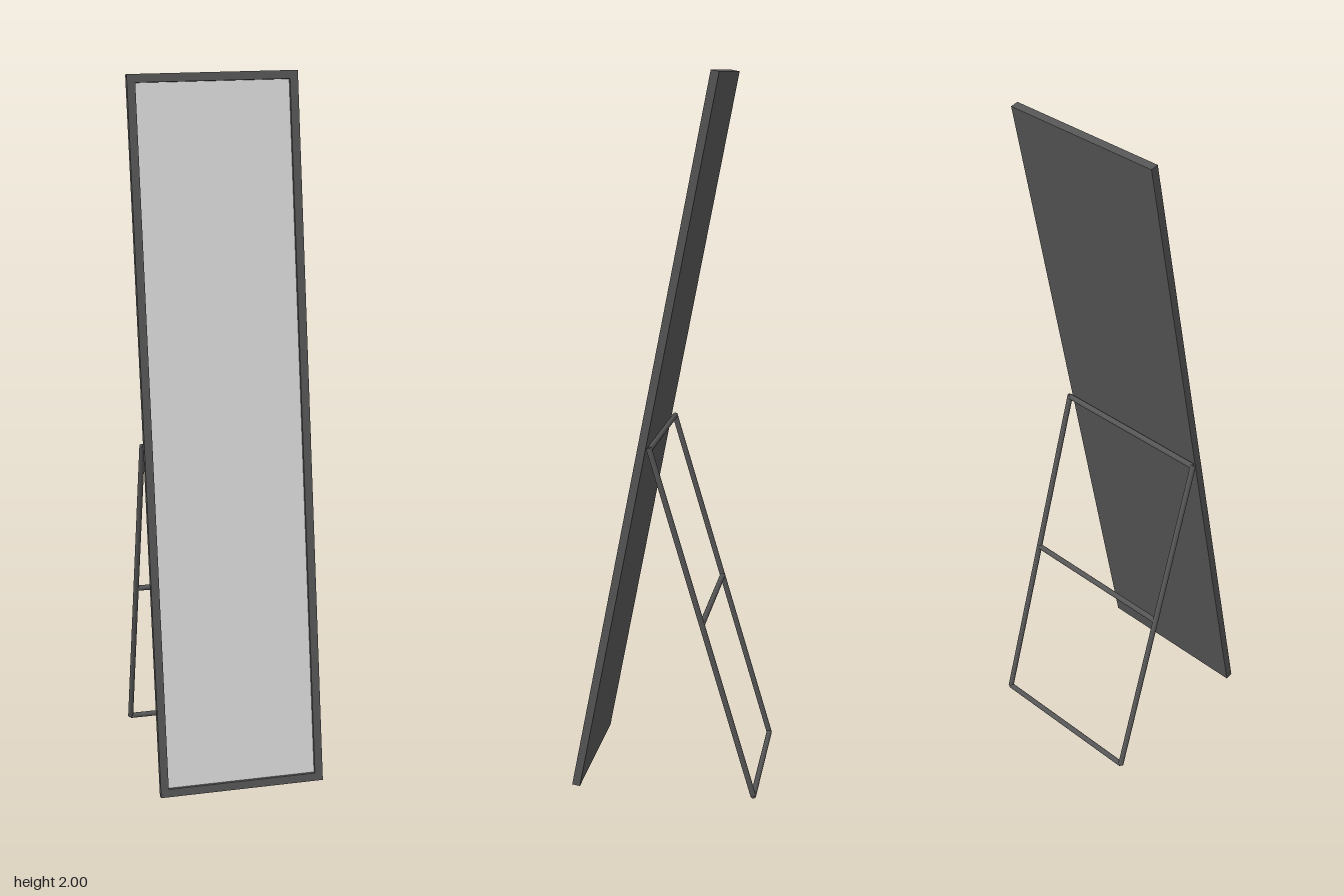
import * as THREE from 'three';

const W = 0.478, H = 2.028, DEPTH = 0.0225; // mirror outer size
const BORDER = 0.023, RECESS = 0.011;
const LEAN = 0.193;
const ROD = 0.008; // stand tube radius

function rectangle(shape, w, h) {
  shape.moveTo(-w / 2, -h / 2);
  shape.lineTo(w / 2, -h / 2);
  shape.lineTo(w / 2, h / 2);
  shape.lineTo(-w / 2, h / 2);
  shape.closePath();
  return shape;
}

// Round bar between two points
function rod(name, a, b, material) {
  const dir = b.clone().sub(a);
  const mesh = new THREE.Mesh(new THREE.CylinderGeometry(ROD, ROD, dir.length(), 16), material);
  mesh.name = name;
  mesh.position.copy(a).add(b).multiplyScalar(0.5);
  mesh.quaternion.setFromUnitVectors(new THREE.Vector3(0, 1, 0), dir.normalize());
  return mesh;
}

export function createModel() {
  const frameMat = new THREE.MeshStandardMaterial({ color: 0x555555 });
  frameMat.name = 'dark grey metal';
  const glassMat = new THREE.MeshStandardMaterial({ color: 0xd8d8d8 });
  glassMat.name = 'pale mirror glass';

  const model = new THREE.Group();
  model.name = 'standingMirror';

  // Leaning mirror: frame, backing board and recessed glass
  const mirror = new THREE.Group();
  mirror.name = 'mirror';
  mirror.position.set(0, 1.0025, 0.0565);
  mirror.rotation.x = -LEAN;
  model.add(mirror);

  const innerW = W - 2 * BORDER, innerH = H - 2 * BORDER;
  const outline = rectangle(new THREE.Shape(), W, H);
  outline.holes.push(rectangle(new THREE.Path(), innerW, innerH));
  const frame = new THREE.Mesh(
    new THREE.ExtrudeGeometry(outline, { depth: DEPTH, bevelEnabled: false }), frameMat);
  frame.name = 'frame';
  frame.position.z = -DEPTH / 2;
  mirror.add(frame);

  const glassThickness = 0.004;
  const boardThickness = DEPTH - RECESS - glassThickness;
  const board = new THREE.Mesh(new THREE.BoxGeometry(innerW, innerH, boardThickness), frameMat);
  board.name = 'backBoard';
  board.position.z = -DEPTH / 2 + boardThickness / 2;
  mirror.add(board);

  const glass = new THREE.Mesh(new THREE.BoxGeometry(innerW, innerH, glassThickness), glassMat);
  glass.name = 'glass';
  glass.position.z = DEPTH / 2 - RECESS - glassThickness / 2;
  mirror.add(glass);

  // Rear stand: two legs joined by three crossbars
  const stand = new THREE.Group();
  stand.name = 'stand';
  model.add(stand);
  const legX = 0.24;
  const foot = (x) => new THREE.Vector3(x, ROD, -0.2555);
  const hinge = (x) => new THREE.Vector3(x, 0.997, 0.038);
  for (const [name, x] of [['leftLeg', legX], ['rightLeg', -legX]]) {
    stand.add(rod(name, foot(x), hinge(x), frameMat));
  }
  for (const [name, t] of [['bottomBar', 0], ['middleBar', 0.5], ['topBar', 0.995]]) {
    stand.add(rod(name, foot(-legX).lerp(hinge(-legX), t), foot(legX).lerp(hinge(legX), t), frameMat));
  }
  return model;
}
